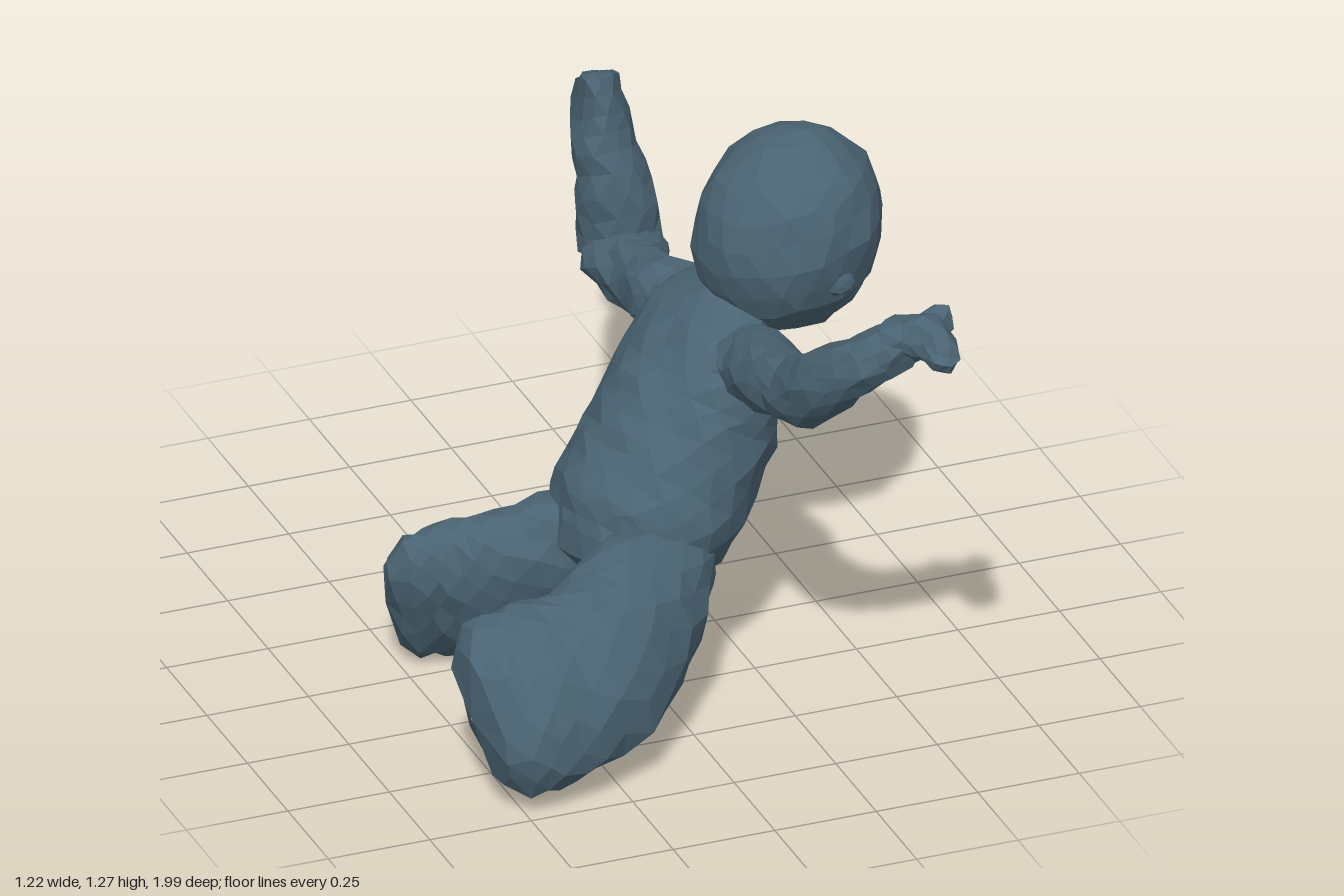
import * as THREE from 'three';
import { mergeVertices } from 'three/addons/utils/BufferGeometryUtils.js';

const slate = new THREE.MeshStandardMaterial({ color: 0x4a6372, flatShading: true });
slate.name = 'slate';

// Repeatable noise in -0.5..0.5 for the rough, hand-modelled surface
function makeNoise(seed) {
  let s = seed;
  return () => {
    s = (s * 16807) % 2147483647;
    return s / 2147483647 - 0.5;
  };
}

// Elliptical loft. Sections: [x, y, z, radius along hint, radius across it].
// cap is the length of the rounded ends.
function loft(name, sections, hint, { sides = 12, steps = 3, cap = 0.05, rough = 0.016 } = {}) {
  const noise = makeNoise(77 + sections.length * 13 + name.length);
  const curve = new THREE.CatmullRomCurve3(sections.map(s => new THREE.Vector3(s[0], s[1], s[2])));
  const n = (sections.length - 1) * steps;
  const rings = [];
  for (let i = 0; i <= n; i++) {
    const k = Math.min(Math.floor(i / steps), sections.length - 2);
    const f = i / steps - k;
    const mix = c => THREE.MathUtils.lerp(sections[k][c], sections[k + 1][c], f);
    rings.push({ p: curve.getPoint(i / n), t: curve.getTangent(i / n), ra: mix(3), rb: mix(4) });
  }
  const end = (r, offset, scale) => ({
    p: r.p.clone().addScaledVector(r.t, offset), t: r.t, ra: r.ra * scale, rb: r.rb * scale,
  });
  const first = rings[0], last = rings[n];
  rings.unshift(end(first, -cap, 0.02), end(first, -cap * 0.65, 0.75));
  rings.push(end(last, cap * 0.65, 0.75), end(last, cap, 0.02));

  const pos = [], index = [];
  rings.forEach((r, i) => {
    const a = new THREE.Vector3(...hint);
    a.addScaledVector(r.t, -a.dot(r.t)).normalize();
    const b = new THREE.Vector3().crossVectors(r.t, a);
    const isTip = i === 0 || i === rings.length - 1;
    for (let j = 0; j < sides; j++) {
      const ang = ((j + (i % 2) * 0.5) / sides) * Math.PI * 2;
      const v = r.p.clone()
        .addScaledVector(a, Math.cos(ang) * r.ra)
        .addScaledVector(b, Math.sin(ang) * r.rb);
      if (!isTip) v.add(new THREE.Vector3(noise(), noise(), noise()).multiplyScalar(rough));
      pos.push(v.x, v.y, v.z);
    }
  });
  for (let i = 0; i < rings.length - 1; i++) {
    for (let j = 0; j < sides; j++) {
      const j2 = (j + 1) % sides;
      const p = i * sides + j, q = i * sides + j2, r = p + sides, s = q + sides;
      if (i % 2) index.push(p, q, s, p, s, r);
      else index.push(p, q, r, q, s, r);
    }
  }
  const geo = new THREE.BufferGeometry();
  geo.setAttribute('position', new THREE.Float32BufferAttribute(pos, 3));
  geo.setIndex(index);
  geo.computeVertexNormals();
  const mesh = new THREE.Mesh(geo, slate);
  mesh.name = name;
  return mesh;
}

// Faceted ellipsoid with slight surface noise, tilted about z
function blob(name, center, radii, detail = 1, rough = 0.004, tilt = 0) {
  let geo = new THREE.IcosahedronGeometry(1, detail);
  geo.deleteAttribute('normal');
  geo.deleteAttribute('uv');
  geo = mergeVertices(geo, 1e-4);
  geo.scale(...radii);
  const noise = makeNoise(31 + name.length);
  const p = geo.attributes.position;
  for (let i = 0; i < p.count; i++) {
    p.setXYZ(i, p.getX(i) + noise() * rough, p.getY(i) + noise() * rough, p.getZ(i) + noise() * rough);
  }
  geo.computeVertexNormals();
  const mesh = new THREE.Mesh(geo, slate);
  mesh.name = name;
  mesh.position.set(...center);
  mesh.rotation.z = tilt;
  return mesh;
}

export function createModel() {
  const model = new THREE.Group();
  model.name = 'babyFigure';

  // Torso leaning toward +x
  model.add(loft('torso', [
    [0.30, 0.88, 0.07, 0.11, 0.08],
    [0.235, 0.79, 0.06, 0.26, 0.13],
    [0.17, 0.66, 0.08, 0.255, 0.185],
    [0.095, 0.53, 0.12, 0.25, 0.205],
    [0.0, 0.41, 0.15, 0.25, 0.205],
    [-0.06, 0.335, 0.17, 0.2, 0.165],
  ], [0, 0, 1], { sides: 18, cap: 0.085 }));

  // Head with a face turned to +x
  const head = new THREE.Group();
  head.name = 'head';
  head.add(
    blob('skull', [0.407, 1.035, 0.062], [0.215, 0.25, 0.21], 3, 0.012, -0.4),
    blob('jaw', [0.47, 0.905, 0.04], [0.125, 0.108, 0.135], 2),
    blob('nose', [0.6, 0.995, 0.01], [0.026, 0.026, 0.035]),
    blob('upperLip', [0.585, 0.955, 0.0], [0.05, 0.028, 0.07]),
    blob('lowerLip', [0.572, 0.913, 0.0], [0.05, 0.025, 0.06]),
    blob('chin', [0.54, 0.87, 0.015], [0.04, 0.04, 0.055]),
    blob('leftCheek', [0.53, 0.95, 0.12], [0.06, 0.06, 0.065]),
    blob('rightCheek', [0.53, 0.95, -0.035], [0.06, 0.06, 0.065]),
    blob('leftEar', [0.46, 0.965, 0.236], [0.04, 0.035, 0.028]),
    blob('rightEar', [0.43, 0.965, -0.115], [0.035, 0.04, 0.025]),
  );
  model.add(head);

  // Raised front arm with a spread hand
  const frontArm = new THREE.Group();
  frontArm.name = 'frontArm';
  frontArm.add(
    loft('arm', [
      [0.245, 0.785, 0.2, 0.09, 0.1],
      [0.24, 0.83, 0.34, 0.083, 0.09],
      [0.23, 0.868, 0.5, 0.082, 0.075],
      [0.24, 0.945, 0.66, 0.082, 0.072],
      [0.285, 1.05, 0.775, 0.068, 0.075],
      [0.37, 1.125, 0.845, 0.055, 0.06],
    ], [0, 1, 0]),
    loft('palm', [
      [0.36, 1.125, 0.825, 0.055, 0.06],
      [0.42, 1.15, 0.88, 0.055, 0.055],
      [0.435, 1.13, 0.97, 0.03, 0.035],
    ], [0, 1, 0], { sides: 8, steps: 2, cap: 0.025 }),
    loft('thumb', [
      [0.39, 1.14, 0.86, 0.05, 0.045],
      [0.48, 1.16, 0.83, 0.04, 0.03],
    ], [0, 1, 0], { sides: 7, steps: 2, cap: 0.02 }),
  );
  model.add(frontArm);

  // Bent rear arm with fingers
  const rearArm = new THREE.Group();
  rearArm.name = 'rearArm';
  rearArm.add(
    loft('arm', [
      [0.24, 0.77, -0.05, 0.1, 0.11],
      [0.21, 0.765, -0.2, 0.088, 0.09],
      [0.2, 0.745, -0.34, 0.078, 0.075],
      [0.22, 0.72, -0.48, 0.085, 0.105],
      [0.25, 0.73, -0.57, 0.09, 0.085],
      [0.28, 0.795, -0.70, 0.062, 0.058],
      [0.31, 0.825, -0.84, 0.06, 0.055],
    ], [0, 1, 0], { cap: 0.03 }),
  );
  const fingerTips = [[0.30, 0.915, -0.87], [0.33, 0.85, -0.97], [0.32, 0.79, -0.975], [0.365, 0.81, -0.92]];
  for (const tip of fingerTips) {
    rearArm.add(loft('finger', [[0.31, 0.83, -0.8, 0.04, 0.035], [...tip, 0.028, 0.025]],
      [0, 1, 0], { sides: 6, steps: 2, cap: 0.02, rough: 0.01 }));
  }
  rearArm.add(blob('fingertipChip', [0.32, 0.905, -0.95], [0.008, 0.009, 0.016], 0));
  model.add(rearArm);

  // Flared upright piece beside the rear elbow
  model.add(loft('uprightStub', [
    [0.23, 0.74, -0.53, 0.1, 0.1],
    [0.215, 0.88, -0.54, 0.1, 0.095],
    [0.21, 1.0, -0.587, 0.108, 0.07],
    [0.21, 1.115, -0.64, 0.118, 0.05],
  ], [-0.35, 0, 1], { sides: 10, cap: 0.012 }));

  // Folded legs reaching back toward -x, ends sloping under
  model.add(loft('frontLeg', [
    [0.02, 0.36, 0.27, 0.13, 0.13],
    [-0.12, 0.31, 0.43, 0.18, 0.14],
    [-0.27, 0.265, 0.55, 0.205, 0.145],
    [-0.41, 0.245, 0.59, 0.22, 0.14],
    [-0.52, 0.23, 0.6, 0.215, 0.125],
  ], [0, 0.8, -0.6], { sides: 14, cap: 0.07 }));
  model.add(loft('rearLeg', [
    [0.0, 0.36, 0.08, 0.14, 0.12],
    [-0.14, 0.29, 0.05, 0.18, 0.12],
    [-0.28, 0.23, 0.005, 0.19, 0.11],
    [-0.39, 0.205, -0.035, 0.2, 0.1],
    [-0.475, 0.19, -0.055, 0.185, 0.085],
  ], [0, 0.94, 0.33], { sides: 14, cap: 0.06 }));

  // Small pointed flap between the legs
  const flap = new THREE.Mesh(new THREE.ConeGeometry(0.06, 0.14, 5), slate);
  flap.name = 'flap';
  flap.position.set(0.01, 0.215, 0.25);
  flap.rotation.z = Math.PI + 0.45;
  model.add(flap);

  return model;
}
